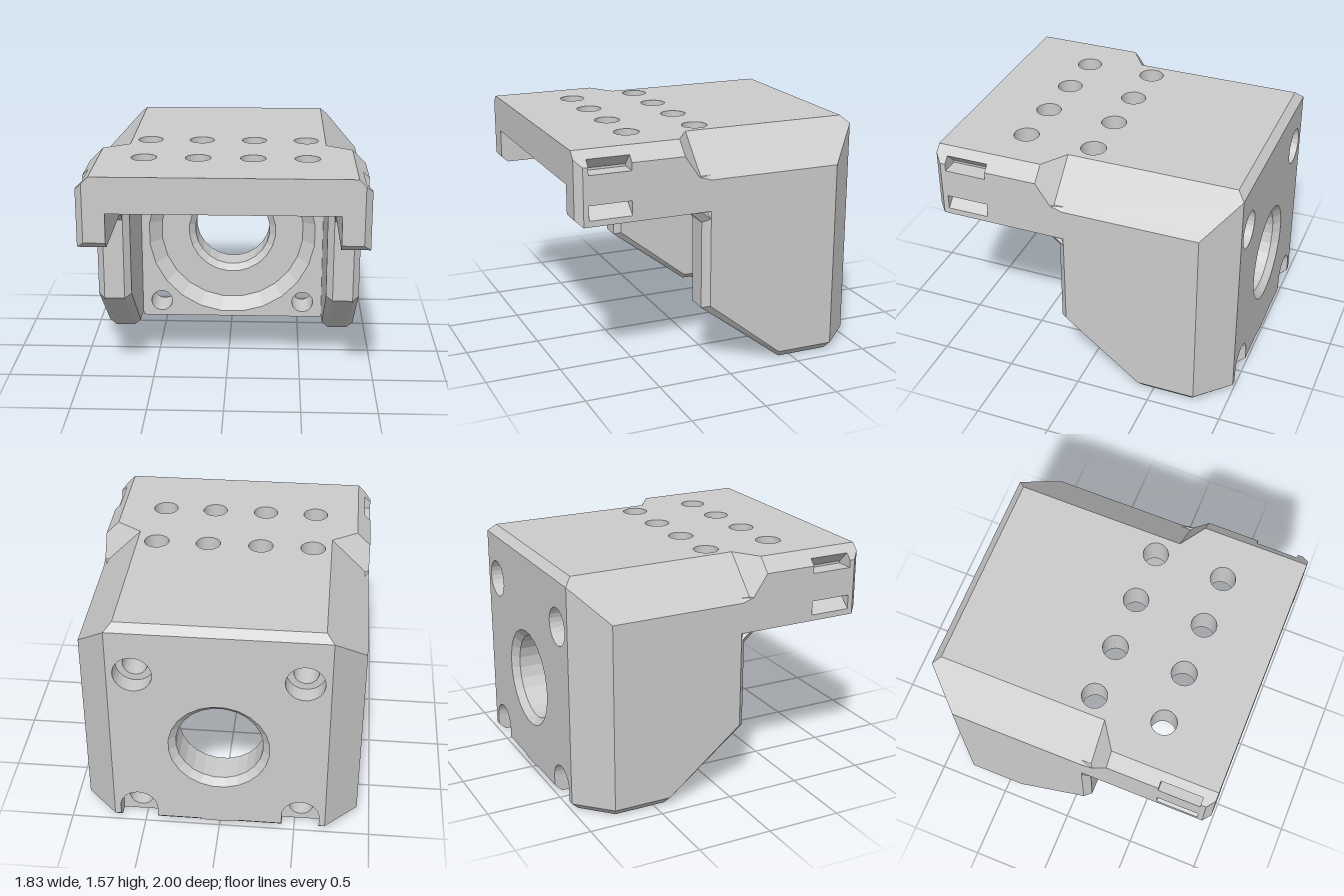
import * as THREE from 'three';
import { ConvexGeometry } from 'three/addons/geometries/ConvexGeometry.js';

const mat = new THREE.MeshStandardMaterial({ color: 0xcccccc, flatShading: true });
const matDouble = new THREE.MeshStandardMaterial({ color: 0xcccccc, flatShading: true, side: THREE.DoubleSide });
const AXIS_Y = 0.665;             // height of the main bore
const BOLT_X = 0.54, BOLT_Y = [0.12, 1.21];
const TOP = 1.565, CEIL = 1.33;   // roof top and underside

const v2 = (pts) => pts.map(([x, y]) => new THREE.Vector2(x, y));

// regular polygon with a flat top, used for every round hole
function ring(cx, cy, r, n = 24) {
  return Array.from({ length: n }, (_, i) => {
    const a = ((i + 0.5) / n) * Math.PI * 2;
    return [cx + r * Math.cos(a), cy + r * Math.sin(a)];
  });
}

// outline with holes, extruded from z0 to z1
function slab(outline, holes, z0, z1) {
  const shape = new THREE.Shape(v2(outline));
  shape.holes = holes.map((h) => new THREE.Path(v2(h)));
  const geo = new THREE.ExtrudeGeometry(shape, { depth: z1 - z0, bevelEnabled: false });
  return geo.translate(0, 0, z0);
}

const hull = (pts, s = 1) => new ConvexGeometry(pts.map(([x, y, z]) => new THREE.Vector3(s * x, y, z)));

export function createModel() {
  const model = new THREE.Group();
  model.name = 'motorBracket';
  const add = (parent, name, geo, material = mat) => {
    const mesh = new THREE.Mesh(geo, material);
    mesh.name = name;
    parent.add(mesh);
    return mesh;
  };

  // --- back plate: counterbored rear layer, then the layer with bolt holes
  const plate = new THREE.Group();
  plate.name = 'backPlate';
  model.add(plate);
  const W = 0.685, CB = 0.125, Z1 = -0.88, Z2 = -0.62;
  const bore = ring(0, AXIS_Y, 0.63);

  const notch = (cx) => {         // lower counterbore, open to the bottom edge
    const pts = [[cx - CB, 0.05]];
    for (let i = 0; i <= 12; i++) {
      const a = Math.PI * (1 - i / 12);
      pts.push([cx + CB * Math.cos(a), BOLT_Y[0] + CB * Math.sin(a)]);
    }
    pts.push([cx + CB, 0.05]);
    return pts;
  };
  const rear = [[-W, 0.05], ...notch(-BOLT_X), ...notch(BOLT_X), [W, 0.05], [W, 1.515], [-W, 1.515]];
  add(plate, 'counterboreLayer', slab(rear,
    [bore, ring(-BOLT_X, BOLT_Y[1], CB), ring(BOLT_X, BOLT_Y[1], CB)], -1, Z1));

  const bolts = [-BOLT_X, BOLT_X].flatMap((x) => BOLT_Y.map((y) => ring(x, y, 0.08)));
  add(plate, 'boltLayer', slab([[-W, 0], [W, 0], [W, CEIL], [-W, CEIL]], [bore, ...bolts], Z1, Z2));

  // chamfered bottom edge, split by the two notches
  for (const [a, b] of [[-W, -BOLT_X - CB], [-BOLT_X + CB, BOLT_X - CB], [BOLT_X + CB, W]]) {
    add(plate, 'bottomEdge', hull([a, b].flatMap((x) =>
      [[x, 0.05, -1], [x, 0, -0.95], [x, 0, Z1], [x, 0.05, Z1]])));
  }
  // chamfered top edge
  add(plate, 'topEdge', hull([-1, 1].flatMap((s) => [
    [s * 0.705, 1.515, -1], [s * 0.655, TOP, -0.95], [s * 0.655, TOP, Z1], [s * 0.655, 1.515, Z1]])));

  // bore with chamfers on both sides and the conical recess
  const boreGeo = new THREE.LatheGeometry(v2([
    [0.632, -1], [0.33, -1], [0.285, -0.955], [0.285, -0.755],
    [0.33, -0.71], [0.54, -0.71], [0.63, Z2]]), 24);
  boreGeo.rotateX(Math.PI / 2).rotateZ(Math.PI / 24).translate(0, AXIS_Y, 0);
  add(plate, 'boreAndRecess', boreGeo, matDouble);

  // --- roof with two rows of holes (drawn in x, -z, then laid flat)
  const roofHoles = [];
  for (const x of [-0.53, -0.18, 0.175, 0.525])
    for (const z of [0.055, 0.525]) roofHoles.push(ring(x, -z, 0.083));
  const half = [[0.655, -Z1], [0.655, -0.29], [0.73, -0.29], [0.73, -1]];
  const roofOutline = [...half, ...half.map(([x, y]) => [-x, y]).reverse()];
  const roofGeo = slab(roofOutline, roofHoles, 0, TOP - CEIL);
  add(model, 'roof', roofGeo.rotateX(-Math.PI / 2).translate(0, CEIL, 0));

  // --- both sides
  for (const s of [1, -1]) {
    const side = new THREE.Group();
    side.name = s > 0 ? 'leftSide' : 'rightSide';
    model.add(side);

    // wall with chamfered front, slope, bottom and rear corner
    add(side, 'wall', hull([
      [W, 0.05, -1], [W, CEIL, -1], [W, 0, -0.95], [W, CEIL, 0.11], [W, 0.46, 0.11], [W, 0.045, -0.41],
      [0.705, 0.05, -1], [0.705, CEIL, -1],
      [0.73, CEIL, 0.155], [0.73, 0.44, 0.155], [0.73, 0, -0.42],
      [0.87, CEIL, 0.155], [0.87, 0.44, 0.155], [0.87, 0, -0.42], [0.87, 0, -0.77],
      [0.915, 1.305, 0.11], [0.915, 0.46, 0.11], [0.915, 0.05, -0.4],
      [0.915, 0.05, -0.79], [0.915, 1.305, -0.79],
      [0.89, CEIL, 0.11], [0.89, CEIL, -0.815]], s));

    // wide roof chamfer above the wall
    add(side, 'roofChamfer', hull([
      [0.655, CEIL, Z1], [0.655, 1.515, Z1], [0.68, CEIL, -1], [0.68, 1.515, -1],
      [0.705, CEIL, -1], [0.705, 1.515, -1], [0.655, TOP, -0.95], [0.655, TOP, 0.175],
      [0.655, CEIL, 0.175], [0.89, CEIL, 0.175], [0.89, CEIL, -0.815]], s));
    // step from the wide chamfer to the narrow one
    add(side, 'chamferStep', hull([
      [0.655, TOP, 0.175], [0.655, CEIL, 0.175], [0.89, CEIL, 0.175], [0.915, CEIL, 0.192],
      [0.655, CEIL, 0.29], [0.655, TOP, 0.29], [0.825, TOP, 0.29],
      [0.915, 1.475, 0.29], [0.915, CEIL, 0.29]], s));

    // rail root and gusset joining it to the wall
    add(side, 'railRoot', hull([
      [0.73, 1.1, 0.11], [0.915, 1.1, 0.11], [0.915, 1.305, 0.11], [0.89, CEIL, 0.11], [0.73, CEIL, 0.11],
      [0.915, 1.305, 0.175], [0.89, CEIL, 0.175], [0.915, CEIL, 0.192],
      [0.73, 1.1, 0.29], [0.915, 1.1, 0.29], [0.915, CEIL, 0.29], [0.73, CEIL, 0.29]], s));
    add(side, 'gusset', hull([
      [0.73, 1.02, 0.155], [0.87, 1.02, 0.155], [0.73, 1.1, 0.245], [0.87, 1.1, 0.245],
      [0.915, 1.1, 0.17], [0.915, 1.05, 0.11], [0.73, 1.1, 0.11], [0.87, 1.1, 0.11]], s));

    // rail, with two wedge slots in its outer face
    const start = [[0.73, TOP], [0.73, 1.1], [0.915, 1.1]];
    const end = [[0.915, 1.475], [0.825, TOP]];
    const slots = [[0.915, 1.14], [0.82, 1.225], [0.82, 1.235], [0.915, 1.235],
      [0.915, 1.425], [0.8, 1.425], [0.8, 1.44], [0.875, 1.515]];
    const rail = (pts, z0, z1) => slab(pts.map(([x, y]) => [s * x, y]), [], z0, z1);
    add(side, 'rail', rail([...start, ...end], 0.29, 0.64));
    add(side, 'slottedRail', rail([...start, ...slots, end[1]], 0.64, 0.92));
    add(side, 'railFront', rail([...start, ...end], 0.92, 0.955));
    add(side, 'railNose', hull([
      ...[...start, ...end].map(([x, y]) => [x, y, 0.955]),
      [0.73, 1.14, 1], [0.87, 1.14, 1], [0.87, 1.52, 1], [0.825, TOP, 1], [0.73, TOP, 1]], s));
  }
  return model;
}
